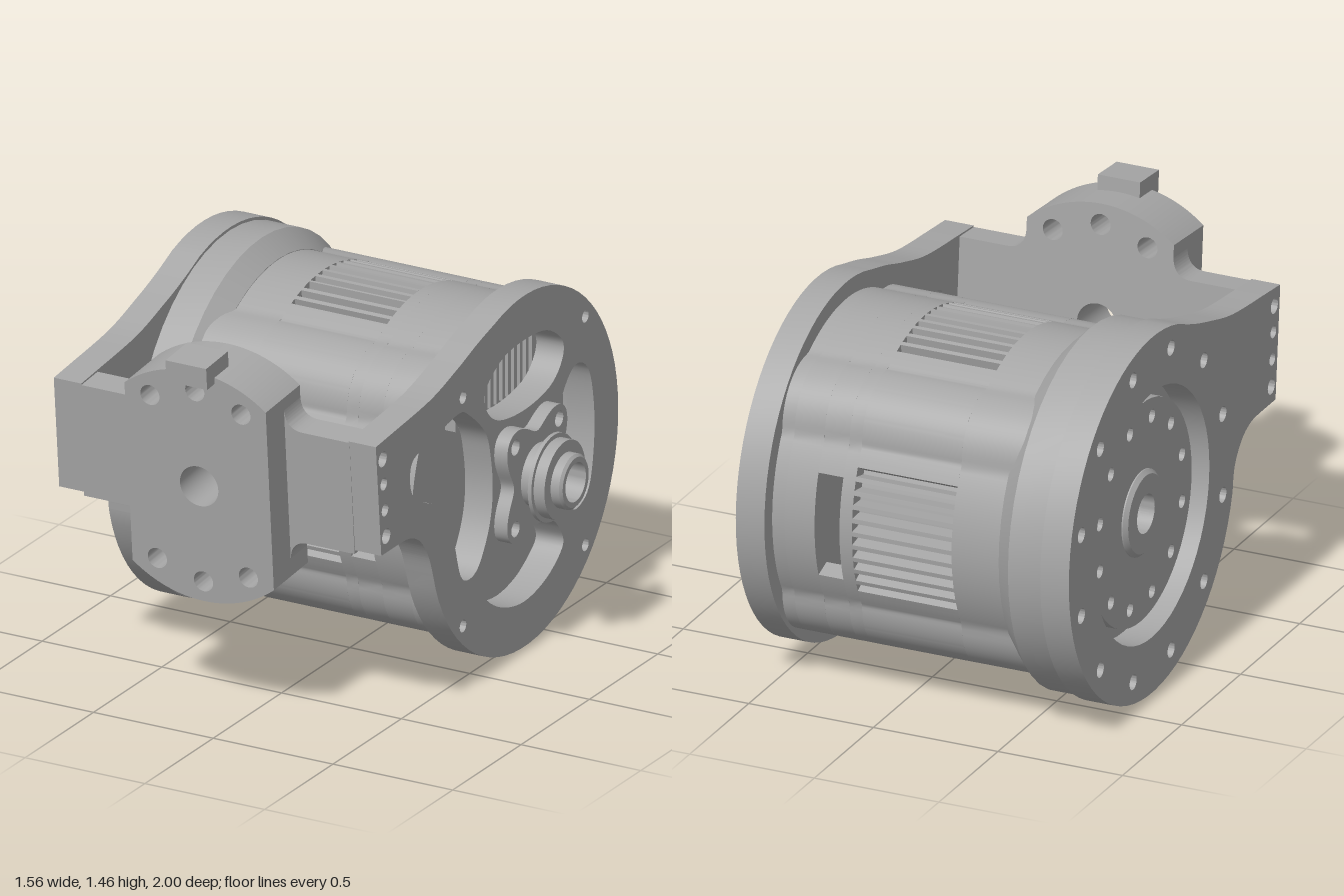
import * as THREE from 'three';
import { toCreasedNormals } from 'three/addons/utils/BufferGeometryUtils.js';

const CY = 0.706, CZ = -0.285; // motor axis, running along x
const BORE = 0.075;
const RAD = Math.PI / 180;

export function createModel() {
  const root = new THREE.Group();
  const metal = new THREE.MeshStandardMaterial({ color: 0xa6a6a6 });
  metal.name = 'grey metal';

  const add = (parent, name, geo) => {
    const m = new THREE.Mesh(toCreasedNormals(geo, 0.45), metal);
    m.name = name;
    parent.add(m);
    return m;
  };
  const hole = (x, y, r) => new THREE.Path().absarc(x, y, r, 0, Math.PI * 2, true);
  const disc = (r) => new THREE.Shape().absarc(0, 0, r, 0, Math.PI * 2, false);
  const ringOfHoles = (shape, n, radius, r, cx = 0, cy = 0) => {
    for (let i = 0; i < n; i++) {
      const a = ((i + 0.5) / n) * Math.PI * 2;
      shape.holes.push(hole(cx + radius * Math.cos(a), cy + radius * Math.sin(a), r));
    }
  };
  // extrudes a (z, y) shape along x from x0 to x1
  const slab = (parent, name, shape, x0, x1) => {
    const g = new THREE.ExtrudeGeometry(shape, { depth: x1 - x0, bevelEnabled: false, curveSegments: 28 });
    g.rotateY(-Math.PI / 2).translate(x1, 0, 0);
    return add(parent, name, g);
  };
  // turns a closed [radius, x] profile around the x axis
  const turned = (parent, name, profile) => {
    const pts = [...profile, profile[0]].map(([r, x]) => new THREE.Vector2(r, x));
    return add(parent, name, new THREE.LatheGeometry(pts, 48).rotateZ(-Math.PI / 2));
  };
  const blob = (pts) => new THREE.Path(
    new THREE.CatmullRomCurve3(pts.map(([x, y]) => new THREE.Vector3(x, y, 0)), true, 'catmullrom', 0.5)
      .getPoints(pts.length * 5).slice(0, -1).map((p) => new THREE.Vector2(p.x, p.y)));

  // ---------- motor ----------
  const motor = new THREE.Group();
  motor.name = 'motor';
  motor.position.set(0, CY, CZ);
  root.add(motor);

  // housing radius at an angle: round, with four raised lobes and optional vent slots
  const housingRadius = (deg, slots) => {
    const d = ((deg % 90) + 90) % 90;
    const a = (d - 45) * RAD, s = 0.46 * Math.sin(a);
    let r = 0.622;
    if (Math.abs(s) < 0.21) r = Math.max(r, 0.46 * Math.cos(a) + Math.sqrt(0.0441 - s * s));
    const side = d > 45 ? d - 90 : d;
    if (slots && Math.abs(side) < 24) {
      const step = Math.round((side + 24) / 0.8) % 6;
      if (step >= 2 && step <= 4) r = 0.56;
    }
    return r;
  };
  const arc = (from, to, step, radius) => {
    const out = [];
    for (let i = 0; i <= Math.round((to - from) / step); i++) {
      const d = from + i * step, r = radius(d);
      out.push(new THREE.Vector2(r * Math.cos(d * RAD), r * Math.sin(d * RAD)));
    }
    return out;
  };
  const housing = (slots, inner) => {
    const step = slots ? 0.8 : 2;
    const s = new THREE.Shape(arc(0, 360 - step, step, (d) => housingRadius(d, slots)));
    s.holes.push(hole(0, 0, inner));
    return s;
  };
  slab(motor, 'housingRear', housing(false, BORE), -0.53, -0.27);
  slab(motor, 'ventedHousing', housing(true, BORE), -0.27, 0.13);
  slab(motor, 'housingBand', housing(false, BORE), 0.13, 0.18);
  slab(motor, 'housingFront', housing(false, BORE), 0.28, 0.4);
  slab(motor, 'housingLip', housing(false, 0.575), 0.4, 0.45);

  // open section with a cable window at front and back
  for (const start of [19, 199]) {
    const outer = arc(start, start + 142, 2, (d) => housingRadius(d, false));
    const inner = arc(start, start + 142, 2, () => 0.55).reverse();
    slab(motor, 'windowSection', new THREE.Shape([...outer, ...inner]), 0.18, 0.28);
  }

  // cooling fins behind the upper opening
  for (let i = 0; i < 14; i++) {
    const fin = add(motor, 'coolingFin', new THREE.BoxGeometry(0.045, 0.28, 0.02));
    fin.position.set(0.42, 0.37, -0.28 + i * 0.043);
  }

  // flared flange on the rotor side
  turned(motor, 'flange', [[BORE, -0.665], [0.694, -0.665], [0.694, -0.53], [0.625, -0.46], [BORE, -0.46]]);

  const rotor = disc(0.43);
  rotor.holes.push(hole(0, 0, BORE));
  ringOfHoles(rotor, 12, 0.36, 0.026);
  slab(motor, 'rotorDisc', rotor, -0.735, -0.66);
  turned(motor, 'rotorHub', [[BORE, -0.755], [0.15, -0.755], [0.165, -0.74], [0.165, -0.7], [BORE, -0.7]]);

  // four-lobed screw flange and stepped hollow shaft
  const lobed = new THREE.Shape(arc(0, 356, 4, (d) => 0.225 - 0.055 * Math.cos(4 * d * RAD)));
  lobed.holes.push(hole(0, 0, 0.11));
  ringOfHoles(lobed, 4, 0.226, 0.03);
  slab(motor, 'screwFlange', lobed, 0.56, 0.62);
  turned(motor, 'hollowShaft', [
    [BORE, 0.4], [0.12, 0.4], [0.12, 0.675], [0.167, 0.675], [0.167, 0.69], [0.15, 0.69],
    [0.15, 0.735], [0.105, 0.735], [0.105, 0.77], [0.095, 0.78], [BORE, 0.78]]);

  // ---------- bracket ----------
  const bracket = new THREE.Group();
  bracket.name = 'bracket';
  root.add(bracket);

  // round side plate with an arm reaching forward
  const armShape = (r) => {
    const s = new THREE.Shape();
    const v = (x, y) => new THREE.Vector2(x, y);
    const on = (deg) => v(CZ + r * Math.cos(deg * RAD), CY + r * Math.sin(deg * RAD));
    s.moveTo(0.76, 0.745);
    s.lineTo(0.8, 1.185);
    s.lineTo(0.68, 1.197);
    s.splineThru([v(0.4, 1.228), v(0.2, 1.28), v(0.06, 1.325), on(72)]);
    s.absarc(CZ, CY, r, 72 * RAD, 345 * RAD, false);
    s.splineThru([v(0.415, 0.62), v(0.475, 0.7), v(0.55, 0.738), v(0.63, 0.745)]);
    [[0.75, 1.12, 0.03], [0.742, 1.02, 0.024], [0.733, 0.915, 0.024], [0.724, 0.81, 0.03]]
      .forEach((h) => s.holes.push(hole(...h)));
    return s;
  };

  const right = armShape(0.688);
  right.holes.push(hole(CZ, CY, 0.11));
  ringOfHoles(right, 4, 0.633, 0.024, CZ, CY);
  right.holes.push(
    blob([[0, 1.12], [-0.12, 1.2], [-0.285, 1.22], [-0.45, 1.2], [-0.565, 1.12], [-0.56, 1.04],
      [-0.47, 0.97], [-0.285, 0.945], [-0.1, 0.97], [-0.01, 1.04]]),
    blob([[0, 0.31], [-0.12, 0.23], [-0.285, 0.195], [-0.45, 0.23], [-0.565, 0.31], [-0.55, 0.38],
      [-0.47, 0.45], [-0.285, 0.47], [-0.1, 0.45], [-0.01, 0.38]]),
    blob([[-0.7, 0.985], [-0.77, 0.91], [-0.8, 0.71], [-0.77, 0.5], [-0.7, 0.43], [-0.62, 0.44],
      [-0.54, 0.56], [-0.515, 0.71], [-0.54, 0.86], [-0.62, 0.97]]),
    blob([[0.55, 0.98], [0.52, 1.04], [0.4, 1.065], [0.2, 1.1], [0.12, 1.07], [0, 0.96], [-0.04, 0.85],
      [-0.055, 0.71], [-0.03, 0.58], [0.04, 0.46], [0.11, 0.425], [0.18, 0.46], [0.24, 0.64],
      [0.33, 0.78], [0.45, 0.845], [0.53, 0.9]]));
  slab(bracket, 'leftArm', right, 0.45, 0.565);

  const left = armShape(0.705);
  left.holes.push(hole(CZ, CY, 0.485));
  ringOfHoles(left, 12, 0.62, 0.03, CZ, CY);
  slab(bracket, 'rightArm', left, -0.78, -0.665);

  // slightly tilted mounting head joining the arms
  const head = new THREE.Group();
  head.name = 'mountingHead';
  head.position.set(-0.11, 0.955, 0.661);
  head.rotation.x = 0.083;
  bracket.add(head);

  const R = 0.465, W = 0.295, cut = Math.acos(W / R);
  const plate = new THREE.Shape();
  plate.absarc(0, 0, R, cut, Math.PI - cut, false);
  plate.absarc(0, 0, R, Math.PI + cut, Math.PI * 2 - cut, false);
  plate.holes.push(hole(0, 0, 0.08));
  for (const s of [1, -1]) {
    plate.holes.push(hole(0, s * 0.385, 0.04), hole(0.19, s * 0.33, 0.04), hole(-0.19, s * 0.33, 0.04));
  }
  const front = (name, shape, depth) =>
    add(head, name, new THREE.ExtrudeGeometry(shape, { depth, bevelEnabled: false, curveSegments: 24 }));
  front('mountingPlate', plate, 0.25);

  // cross bars, filleted where they meet the plate
  for (const s of [1, -1]) {
    const bar = new THREE.Shape();
    bar.moveTo(s * 0.565, -0.215);
    bar.lineTo(s * 0.565, 0.235);
    bar.lineTo(s * 0.37, 0.235);
    bar.quadraticCurveTo(s * 0.3, 0.235, s * 0.295, 0.31);
    bar.lineTo(s * 0.295, -0.29);
    bar.quadraticCurveTo(s * 0.3, -0.215, s * 0.37, -0.215);
    front('crossBar', bar, 0.12);
  }

  const tab = add(head, 'topTab', new THREE.BoxGeometry(0.17, 0.085, 0.16));
  tab.position.set(0, 0.475, 0.225);

  return root;
}
